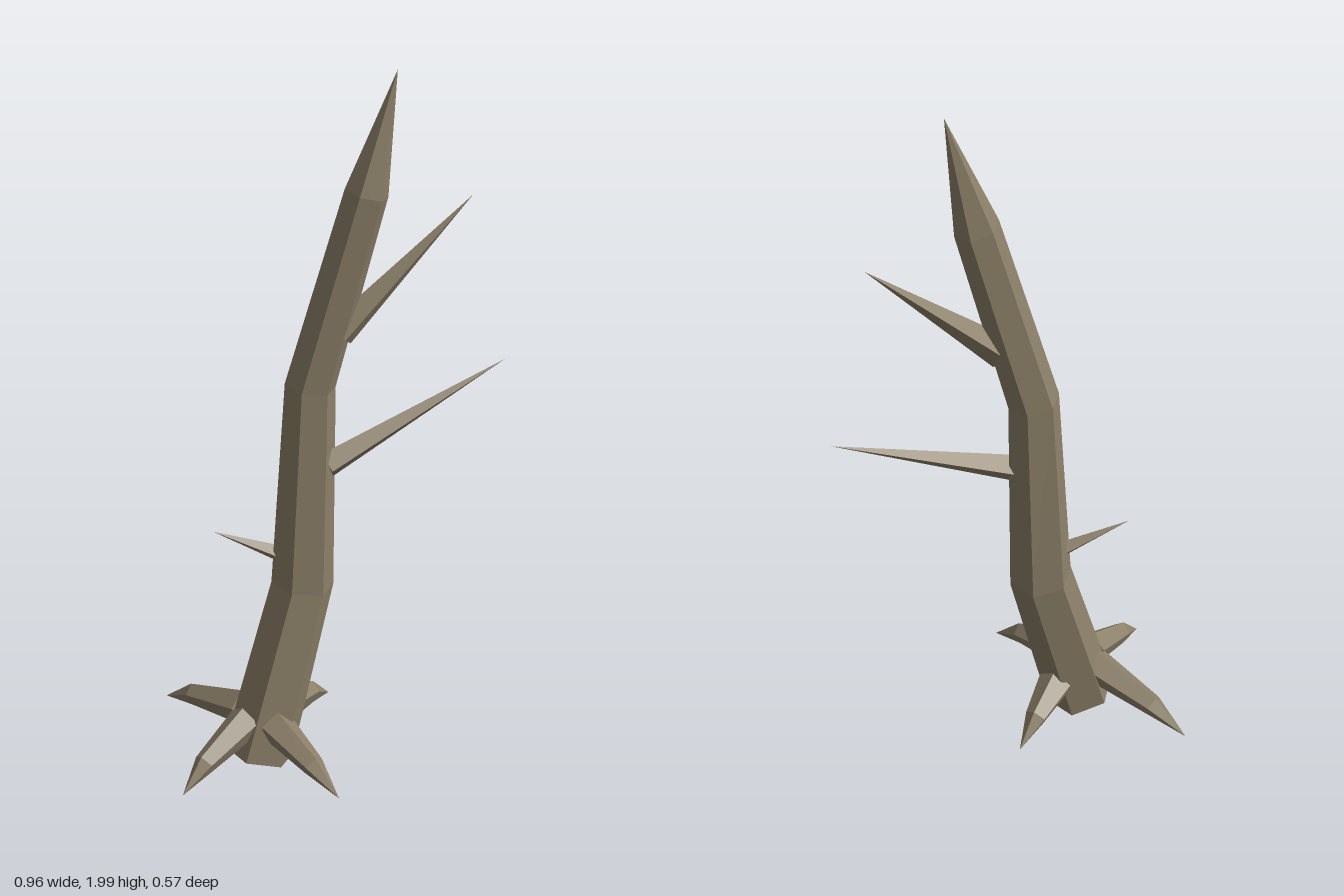
import * as THREE from 'three';

const V = (p) => new THREE.Vector3(p[0], p[1], p[2]);

// Faceted limb through sections [x, y, z, radius]; radius 0 closes to a point.
// The first corner of every ring points along ref; both ends are closed.
function limb(sections, sides, ref) {
  const centres = sections.map(V);
  const last = centres.length - 1;
  const rings = centres.map((c, i) => {
    const t = new THREE.Vector3();
    if (i > 0) t.add(c.clone().sub(centres[i - 1]).normalize());
    if (i < last) t.add(centres[i + 1].clone().sub(c).normalize());
    t.normalize();
    const u = ref.clone().addScaledVector(t, -ref.dot(t)).normalize();
    const v = t.clone().cross(u);
    return Array.from({ length: sides }, (_, k) => {
      const a = (k / sides) * Math.PI * 2;
      return c.clone()
        .addScaledVector(u, Math.cos(a) * sections[i][3])
        .addScaledVector(v, Math.sin(a) * sections[i][3]);
    });
  });
  const points = [];
  for (let k = 0; k < sides; k++) {
    const n = (k + 1) % sides;
    points.push(centres[0], rings[0][n], rings[0][k]);
    for (let i = 0; i < last; i++) {
      const [a, b] = [rings[i], rings[i + 1]];
      points.push(a[k], a[n], b[n]);
      if (sections[i + 1][3] > 0) points.push(a[k], b[n], b[k]);
    }
  }
  const geometry = new THREE.BufferGeometry().setFromPoints(points);
  geometry.computeVertexNormals();
  return geometry;
}

export function createModel() {
  const model = new THREE.Group();
  model.name = 'deadTree';
  const bark = new THREE.MeshStandardMaterial({ color: 0x8c8069 });
  bark.name = 'bark';
  bark.flatShading = true;

  const xAxis = new THREE.Vector3(1, 0, 0);
  const up = new THREE.Vector3(0, 1, 0);
  const add = (name, sections, sides, ref) => {
    const mesh = new THREE.Mesh(limb(sections, sides, ref), bark);
    mesh.name = name;
    model.add(mesh);
  };

  // Leaning six-sided trunk
  add('trunk', [
    [-0.24, 0.035, 0.002, 0.102],
    [-0.098, 0.55, -0.05, 0.088],
    [-0.07, 1.155, -0.058, 0.069],
    [0.075, 1.685, -0.045, 0.058],
    [0.153, 1.995, -0.055, 0],
  ], 6, xAxis);

  // Straight spiky branches
  const branches = {
    lowerBranch: [[-0.03, 0.925, -0.03, 0.04], [0.475, 1.155, -0.106, 0]],
    upperBranch: [[0.005, 1.305, -0.04, 0.045], [0.365, 1.64, -0.092, 0]],
    smallBranch: [[-0.15, 0.64, -0.063, 0.026], [-0.337, 0.72, -0.088, 0]],
  };
  for (const [name, sections] of Object.entries(branches)) add(name, sections, 4, up);

  // Bent roots: base, knee, tip
  const roots = {
    backRightRoot: [[-0.27, 0.16, -0.04], [-0.395, 0.11, -0.2], [-0.467, 0.05, -0.29]],
    frontRightRoot: [[-0.275, 0.16, 0.025], [-0.41, 0.105, 0.125], [-0.482, 0.05, 0.183]],
    frontLeftRoot: [[-0.2, 0.155, 0.055], [-0.12, 0.11, 0.2], [-0.063, 0.05, 0.283]],
    backLeftRoot: [[-0.145, 0.14, -0.065], [-0.06, 0.105, -0.15], [0.006, 0.05, -0.21]],
  };
  const radii = [0.052, 0.032, 0];
  for (const [name, path] of Object.entries(roots)) {
    add(name, path.map((p, i) => [...p, radii[i]]), 5, up);
  }
  return model;
}
